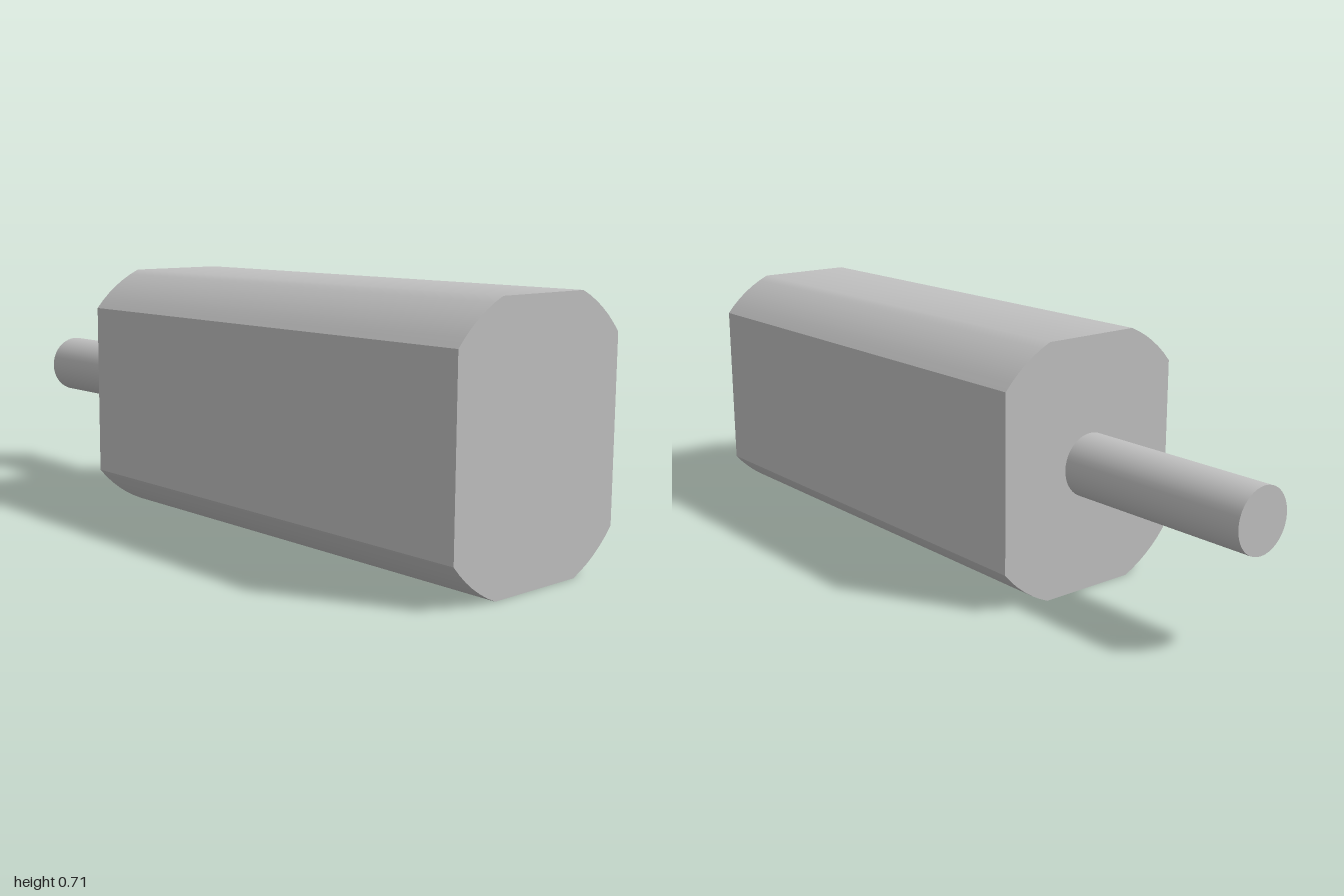
import * as THREE from 'three';
import { toCreasedNormals } from 'three/addons/utils/BufferGeometryUtils.js';

const HALF_W = 0.294, HALF_H = 0.353, FLAT = 0.147;
const RADIUS = Math.hypot(FLAT, HALF_H);
const BODY_BACK = -0.41, SHAFT_R = 0.088;

// Round section cut flat on all four sides
function bodySection() {
  const shape = new THREE.Shape();
  const low = Math.acos(HALF_W / RADIUS), high = Math.asin(HALF_H / RADIUS);
  const arcs = [
    [low, high],
    [Math.PI - high, Math.PI - low],
    [Math.PI + low, Math.PI + high],
    [2 * Math.PI - high, 2 * Math.PI - low],
  ];
  for (const [start, end] of arcs) shape.absarc(0, 0, RADIUS, start, end, false);
  shape.closePath();
  return shape;
}

export function createModel() {
  const model = new THREE.Group();
  model.name = 'motor';
  const grey = new THREE.MeshStandardMaterial({ color: 0xbfbfbf });
  grey.name = 'grey';

  // Body, smooth across the top and bottom, sharp at the side flats
  const bodyGeometry = new THREE.ExtrudeGeometry(bodySection(), {
    depth: 1 - BODY_BACK, bevelEnabled: false, curveSegments: 3,
  });
  const body = new THREE.Mesh(toCreasedNormals(bodyGeometry, Math.PI / 6), grey);
  body.name = 'body';
  body.position.set(0, HALF_H, BODY_BACK);
  model.add(body);

  // Shaft out of the back
  const length = 1 + BODY_BACK;
  const shaftGeometry = new THREE.CylinderGeometry(SHAFT_R, SHAFT_R, length, 40);
  const shaft = new THREE.Mesh(shaftGeometry.rotateX(Math.PI / 2), grey);
  shaft.name = 'shaft';
  shaft.position.set(0, HALF_H, (BODY_BACK - 1) / 2);
  model.add(shaft);

  return model;
}
